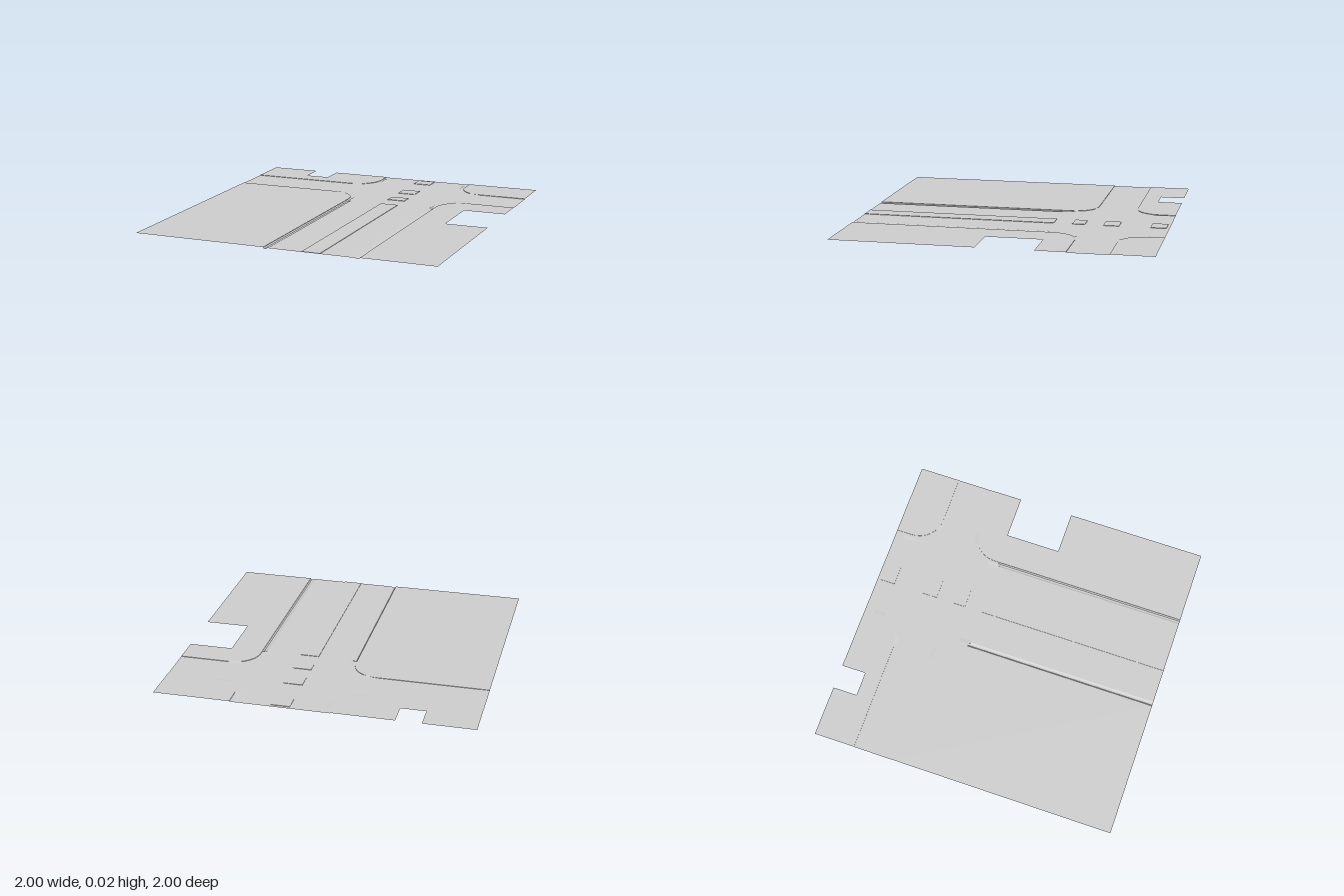
import * as THREE from 'three';

const CX = 0.2, CZ = -0.6;          // crossing centre
const HX = 0.315, HZ = 0.13;        // half widths of the two roads
const R = 0.165;                    // kerb corner radius
const ROAD = -0.003;                // road level below the pavement
const GUTTER_END = -0.27, GUTTER_W = 0.03;

const concrete = new THREE.MeshStandardMaterial({ color: 0xcccccc, side: THREE.DoubleSide, flatShading: true });
concrete.name = 'concreteGrey';

// flat sheet from [x, z] points
function sheet(points, y) {
  const g = new THREE.ShapeGeometry(new THREE.Shape(points.map(([x, z]) => new THREE.Vector2(x, -z))));
  return g.rotateX(-Math.PI / 2).translate(0, y, 0);
}

// surface through rows of [x, y, z] points
function loft(rows) {
  const n = rows[0].length, index = [];
  for (let i = 0; i < rows.length - 1; i++) {
    for (let j = 0; j < n - 1; j++) {
      const a = i * n + j, b = a + n;
      index.push(a, b, a + 1, b, b + 1, a + 1);
    }
  }
  const g = new THREE.BufferGeometry();
  g.setAttribute('position', new THREE.Float32BufferAttribute(rows.flat(2), 3));
  g.setIndex(index);
  const flat = g.toNonIndexed();
  flat.computeVertexNormals();
  return flat;
}

// kerb line of one quadrant, from the z edge round the corner to the x edge
function kerbLine(sx, sz) {
  const px = CX + sx * HX, pz = CZ + sz * HZ;
  const pts = [[px, sz]];
  for (let i = 0; i <= 10; i++) {
    const t = (i / 10) * Math.PI / 2;
    pts.push([px + sx * R * (1 - Math.cos(t)), pz + sz * R * (1 - Math.sin(t))]);
  }
  pts.push([sx, pz]);
  return pts;
}

export function createModel() {
  const model = new THREE.Group();
  const ground = new THREE.Group();
  ground.name = 'slopingGround';
  ground.rotation.z = 0.0095;
  ground.position.y = 0.0126;
  model.add(ground);

  const add = (name, geometry) => {
    const m = new THREE.Mesh(geometry, concrete);
    m.name = name;
    ground.add(m);
    return m;
  };

  const roadOutline = [];
  for (const [sx, sz] of [[1, 1], [1, -1], [-1, -1], [-1, 1]]) {
    const kerb = kerbLine(sx, sz);
    const side = (sz > 0 ? 'front' : 'back') + (sx > 0 ? 'Left' : 'Right');

    // pavement with its cut-outs
    const outline = [...kerb];
    if (sx > 0 && sz > 0) outline.push([1, -0.28], [0.72, -0.28], [0.72, 0.08], [1, 0.08]);
    outline.push([sx, sz]);
    if (sx < 0 && sz < 0) outline.push([-0.67, -1], [-0.67, -0.84], [-0.51, -0.84], [-0.51, -1]);
    add(side + 'Pavement', sheet(outline, 0));

    // kerb face
    add(side + 'Kerb', loft(kerb.map(([x, z]) => [[x, 0, z], [x, ROAD, z]])));

    // gutter channel along the front arm of the main road
    let edge = kerb;
    if (sz > 0) {
      const px = kerb[0][0], inner = px - sx * GUTTER_W;
      edge = [[inner, 1], [inner, GUTTER_END], [px, GUTTER_END], ...kerb.slice(2)];
      const row = (z) => [[px, ROAD, z], [px - sx * 0.008, -0.009, z],
        [px - sx * 0.02, -0.009, z], [inner, ROAD, z]];
      add(side + 'Gutter', loft([row(1), row(GUTTER_END)]));
    }
    roadOutline.push(...(sx * sz > 0 ? edge : [...edge].reverse()));

    // dropped-kerb ramps at both ends of the rounded corner
    const zx = CZ + sz * HZ, xr = CX + sx * 0.44;
    add(side + 'CrossRoadRamp', loft([-0.04, 0.04].map((d) =>
      [[xr + d, 0.0005, zx + sz * 0.014], [xr + d, ROAD + 0.0002, zx - sz * 0.012]])));
    const xm = CX + sx * 0.285, zr = CZ + sz * 0.3;
    add(side + 'MainRoadRamp', loft([-0.04, 0.04].map((d) =>
      [[xm + sx * 0.012, 0.0002, zr + d], [xm - sx * 0.012, ROAD + 0.0002, zr + d]])));
  }
  add('roadSurface', sheet(roadOutline, ROAD));

  // low central strip, broken into dashes beyond the crossing line
  for (const [z0, z1] of [[-0.26, 1], [-0.46, -0.38], [-0.68, -0.58], [-0.98, -0.88]]) {
    const strip = add('centreStrip', new THREE.BoxGeometry(0.12, 0.003, z1 - z0));
    strip.position.set(CX, ROAD + 0.0015, (z0 + z1) / 2);
  }
  return model;
}
